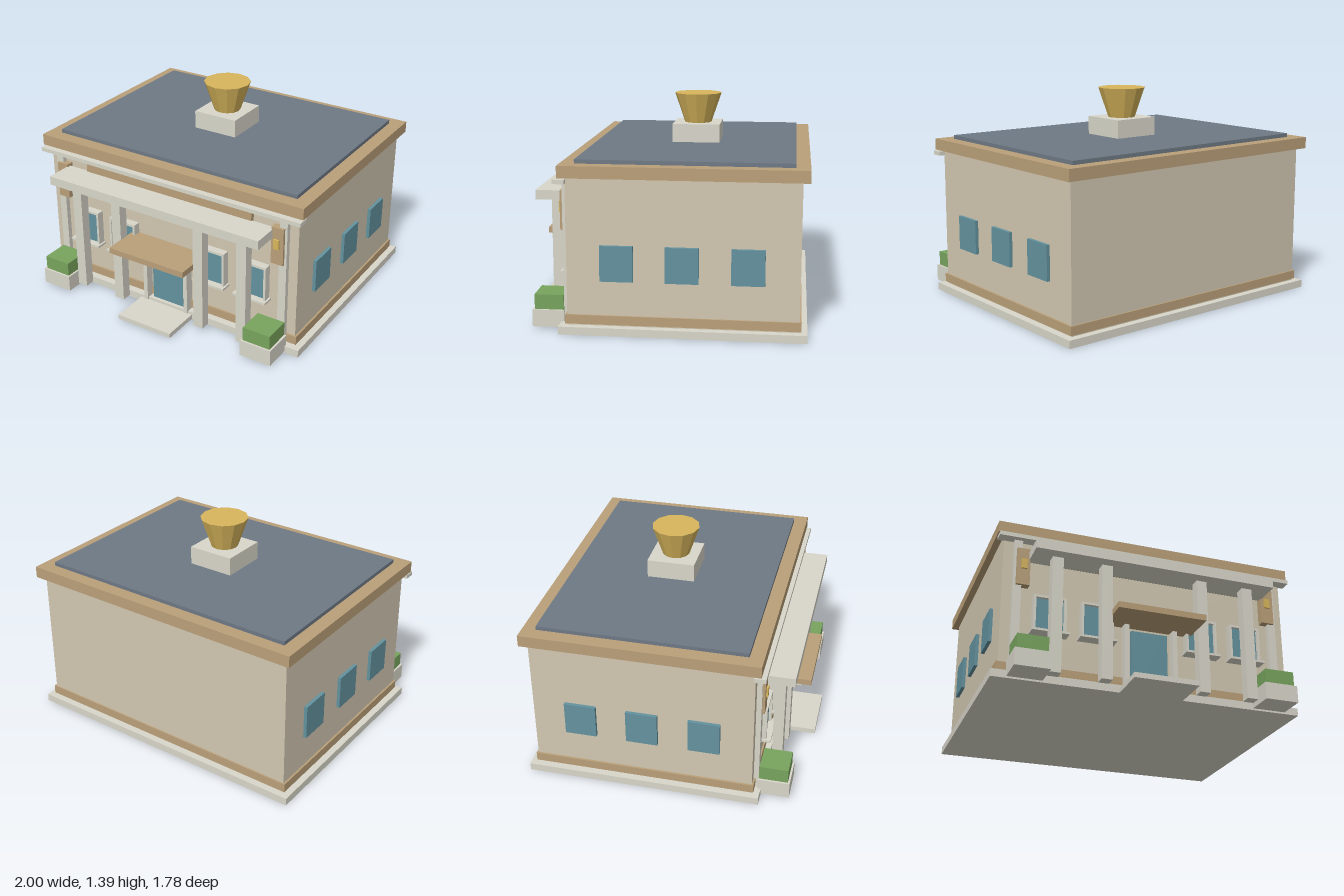
import * as THREE from 'three';

const material = (color) => new THREE.MeshStandardMaterial({ color, flatShading: true });

export function createModel() {
  const model = new THREE.Group();
  model.name = 'museumBuilding';
  const wall = material(0xd2c8b2), tan = material(0xbaa079), stone = material(0xd9d7ca);
  const glass = material(0x64939f), slate = material(0x6f7985), gold = material(0xd8b65c), green = material(0x78a45e);

  // Box given by its extents along each axis
  const box = (name, mat, [x0, x1], [y0, y1], [z0, z1], parent = model) => {
    const mesh = new THREE.Mesh(new THREE.BoxGeometry(x1 - x0, y1 - y0, z1 - z0), mat);
    mesh.position.set((x0 + x1) / 2, (y0 + y1) / 2, (z0 + z1) / 2);
    mesh.name = name;
    parent.add(mesh);
    return mesh;
  };
  // The same box on both sides of the building
  const pair = (name, mat, [x0, x1], y, z) => {
    box(name + 'Left', mat, [x0, x1], y, z);
    box(name + 'Right', mat, [-x1, -x0], y, z);
  };

  // Main body
  box('baseSlab', stone, [-1, 1], [0, 0.05], [-0.89, 0.63]);
  box('walls', wall, [-0.95, 0.95], [0.05, 0.98], [-0.844, 0.58]);
  box('plinthBand', tan, [-0.963, 0.963], [0.06, 0.117], [-0.854, 0.592]);
  box('roofCornice', tan, [-0.993, 0.993], [0.975, 1.05], [-0.888, 0.62]);
  box('roofDeck', slate, [-0.902, 0.902], [1.04, 1.075], [-0.8, 0.53]);
  box('frontMoulding', stone, [-0.99, 0.99], [0.938, 0.965], [0.575, 0.648]);

  // Rooftop pedestal and flared bowl
  box('roofPedestal', stone, [-0.157, 0.157], [1.06, 1.195], [-0.292, 0.022]);
  const bowl = new THREE.Mesh(new THREE.CylinderGeometry(0.157, 0.09, 0.197, 12), gold);
  bowl.name = 'roofBowl';
  bowl.position.set(0, 1.2935, -0.135);
  model.add(bowl);

  // Portico
  box('signPanel', tan, [-0.635, 0.635], [0.81, 0.935], [0.575, 0.61]);
  box('porticoBeam', stone, [-0.795, 0.795], [0.8, 0.86], [0.6, 0.8]);
  for (const x of [-0.637, -0.318, 0.318, 0.637])
    box('porticoColumn', stone, [x - 0.035, x + 0.035], [0.035, 0.8], [0.66, 0.728]);
  pair('cornerPilaster', stone, [0.835, 0.888], [0.05, 0.938], [0.575, 0.613]);
  pair('lanternPlate', tan, [0.787, 0.872], [0.627, 0.877], [0.575, 0.63]);
  pair('lanternLight', gold, [0.808, 0.845], [0.735, 0.8], [0.62, 0.642]);

  // Entrance
  box('entranceDoor', glass, [-0.12, 0.12], [0.05, 0.435], [0.575, 0.605]);
  pair('doorPost', stone, [0.145, 0.174], [0.035, 0.462], [0.575, 0.64]);
  box('entranceCanopy', tan, [-0.286, 0.286], [0.46, 0.5], [0.575, 0.848]);
  box('entranceStep', stone, [-0.205, 0.205], [0, 0.033], [0.6, 0.89]);

  // Front windows: pane, frame bars and sill
  for (const x of [-0.652, -0.347, 0.347, 0.652]) {
    const win = new THREE.Group();
    win.name = 'frontWindow';
    win.position.x = x;
    model.add(win);
    box('pane', glass, [-0.09, 0.09], [0.335, 0.558], [0.575, 0.612], win);
    for (const s of [-1, 1])
      box('frameSide', stone, [s * 0.097 - 0.008, s * 0.097 + 0.008], [0.33, 0.573], [0.575, 0.632], win);
    box('frameTop', stone, [-0.105, 0.105], [0.557, 0.573], [0.575, 0.632], win);
    box('sill', stone, [-0.118, 0.118], [0.322, 0.337], [0.575, 0.66], win);
  }

  // Side windows
  for (const z of [0.27, -0.13, -0.53])
    pair('sideWindow', glass, [0.94, 0.972], [0.337, 0.56], [z - 0.102, z + 0.102]);

  // Planters with clipped hedges
  pair('planter', stone, [0.685, 0.904], [0.012, 0.122], [0.61, 0.813]);
  pair('hedge', green, [0.698, 0.89], [0.12, 0.217], [0.615, 0.8]);

  return model;
}
